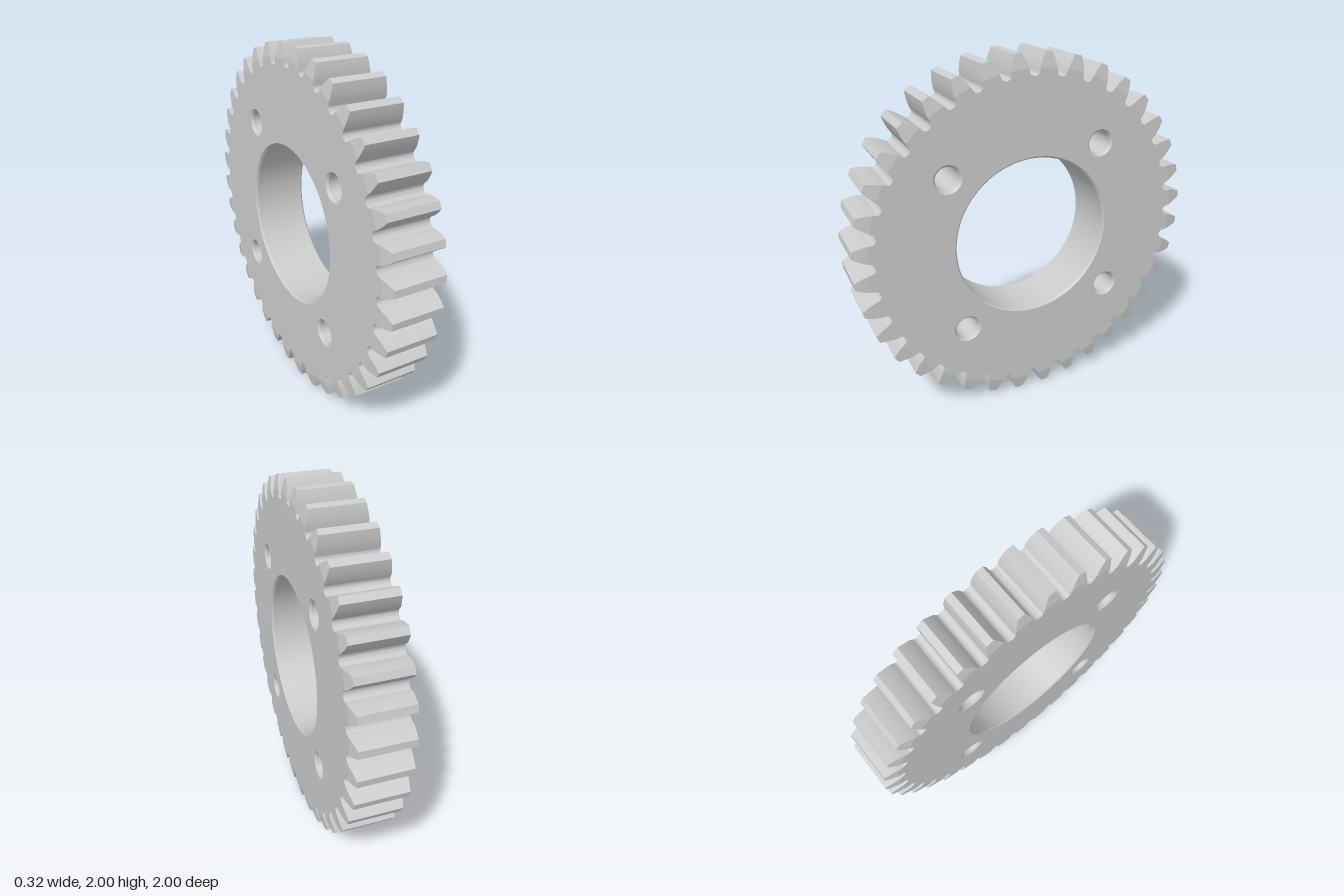
import * as THREE from 'three';
import { toCreasedNormals } from 'three/addons/utils/BufferGeometryUtils.js';

const TEETH = 36, PITCH = (Math.PI * 2) / TEETH;
const TIP = 1.0023, ROOT = 0.8836, PITCH_R = 0.9495, FILLET = 0.905, CHAMFER = 0.925;
const HALF = 0.16, CUT = 0.015;
const PRESSURE = THREE.MathUtils.degToRad(20), BASE = PITCH_R * Math.cos(PRESSURE);
const BORE = { x: 0, y: 0, r: 0.452, R: 0.462, c: 0.011, n: 96 };

// involute tooth: half the angular thickness at radius r
const inv = (a) => Math.tan(a) - a;
const halfAngle = (r) => PITCH / 4 + inv(PRESSURE) - inv(Math.acos(BASE / r));

// half the end face is cut back towards the tooth tips
const faceZ = (r) => HALF - CUT * Math.max(0, (r - CHAMFER) / (TIP - CHAMFER));

// half a tooth from the middle of the groove to the tip
function halfTooth() {
  const pts = [], width = FILLET * (PITCH / 2 - halfAngle(FILLET));
  for (let j = 0; j < 6; j++) {
    const t = (j / 6) * Math.PI / 2;
    const r = FILLET - (FILLET - ROOT) * Math.cos(t);
    pts.push({ r, a: PITCH / 2 - (width * Math.sin(t)) / r });
  }
  for (const r of [FILLET, CHAMFER, 0.945, 0.965, 0.985, TIP]) pts.push({ r, a: halfAngle(r) });
  return pts;
}

const polar = (r, a) => ({ x: r * Math.cos(a), y: r * Math.sin(a), r });
const quad = (out, a, b, c, d) => {
  for (const p of [a, b, c, a, c, d]) out.push(p.x, p.y, p.z);
};
const at = (p, side) => ({ x: p.x, y: p.y, z: side * faceZ(p.r) });

function fromTriangles(list) {
  const g = new THREE.BufferGeometry();
  g.setAttribute('position', new THREE.Float32BufferAttribute(list, 3));
  g.computeVertexNormals();
  return g;
}

// plain or bolt hole wall with a small chamfer at each end
function holeWall({ x, y, r, R, c, n }) {
  const profile = [[R, HALF], [r, HALF - c], [r, c - HALF], [R, -HALF]];
  const g = new THREE.LatheGeometry(profile.map((p) => new THREE.Vector2(...p)), n);
  g.rotateX(Math.PI / 2).translate(x, y, 0);
  return toCreasedNormals(g, 0.5);
}

export function createModel() {
  const model = new THREE.Group();
  model.name = 'spurGear';
  const gear = new THREE.Group();
  gear.name = 'gearBody';
  const material = new THREE.MeshStandardMaterial({ color: 0xcccccc });
  const add = (name, geometry) => {
    const mesh = new THREE.Mesh(geometry, material);
    mesh.name = name;
    gear.add(mesh);
    return mesh;
  };

  // toothed outline and the sloped ends of the teeth
  const half = halfTooth(), outline = [], slopes = [];
  for (let t = 0; t < TEETH; t++) {
    const mid = (t + 0.5) * PITCH;
    const low = half.map((p) => polar(p.r, mid - p.a));
    const high = half.map((p) => polar(p.r, mid + p.a));
    outline.push(...low, ...high.slice(1).reverse());
    for (let k = 0; k < half.length - 1; k++) {
      if (half[k].r < CHAMFER) continue;
      quad(slopes, at(low[k], 1), at(low[k + 1], 1), at(high[k + 1], 1), at(high[k], 1));
      quad(slopes, at(high[k], -1), at(high[k + 1], -1), at(low[k + 1], -1), at(low[k], -1));
    }
  }
  add('toothEndChamfers', fromTriangles(slopes));

  // tooth flanks, tips and grooves
  const wall = [];
  outline.forEach((p, i) => {
    const q = outline[(i + 1) % outline.length];
    quad(wall, at(p, -1), at(q, -1), at(q, 1), at(p, 1));
  });
  add('toothFlanks', toCreasedNormals(fromTriangles(wall), 0.6));

  // central bore and four bolt holes
  const holes = [BORE];
  for (let i = 0; i < 4; i++) {
    const c = polar(0.634, THREE.MathUtils.degToRad(139.9 + 90 * i));
    holes.push({ x: c.x, y: c.y, r: 0.066, R: 0.078, c: 0.012, n: 40 });
  }
  holes.forEach((h, i) => add(i ? 'boltHole' + i : 'centralBore', holeWall(h)));

  // flat side faces
  const face = new THREE.Shape(
    outline.filter((p) => p.r <= CHAMFER + 1e-6).map((p) => new THREE.Vector2(p.x, p.y)));
  for (const { x, y, R, n } of holes) {
    const ring = Array.from({ length: n }, (_, i) => {
      const a = (-i / n) * Math.PI * 2;
      return new THREE.Vector2(x + R * Math.cos(a), y + R * Math.sin(a));
    });
    face.holes.push(new THREE.Path(ring));
  }
  add('leftFace', new THREE.ShapeGeometry(face).translate(0, 0, HALF));
  const back = new THREE.ShapeGeometry(face).translate(0, 0, -HALF);
  const index = back.index.array;
  for (let i = 0; i < index.length; i += 3) [index[i], index[i + 1]] = [index[i + 1], index[i]];
  back.computeVertexNormals();
  add('rightFace', back);

  // axle runs along x, gear stands on the ground
  gear.rotation.y = Math.PI / 2;
  gear.position.y = 1;
  model.add(gear);
  return model;
}
